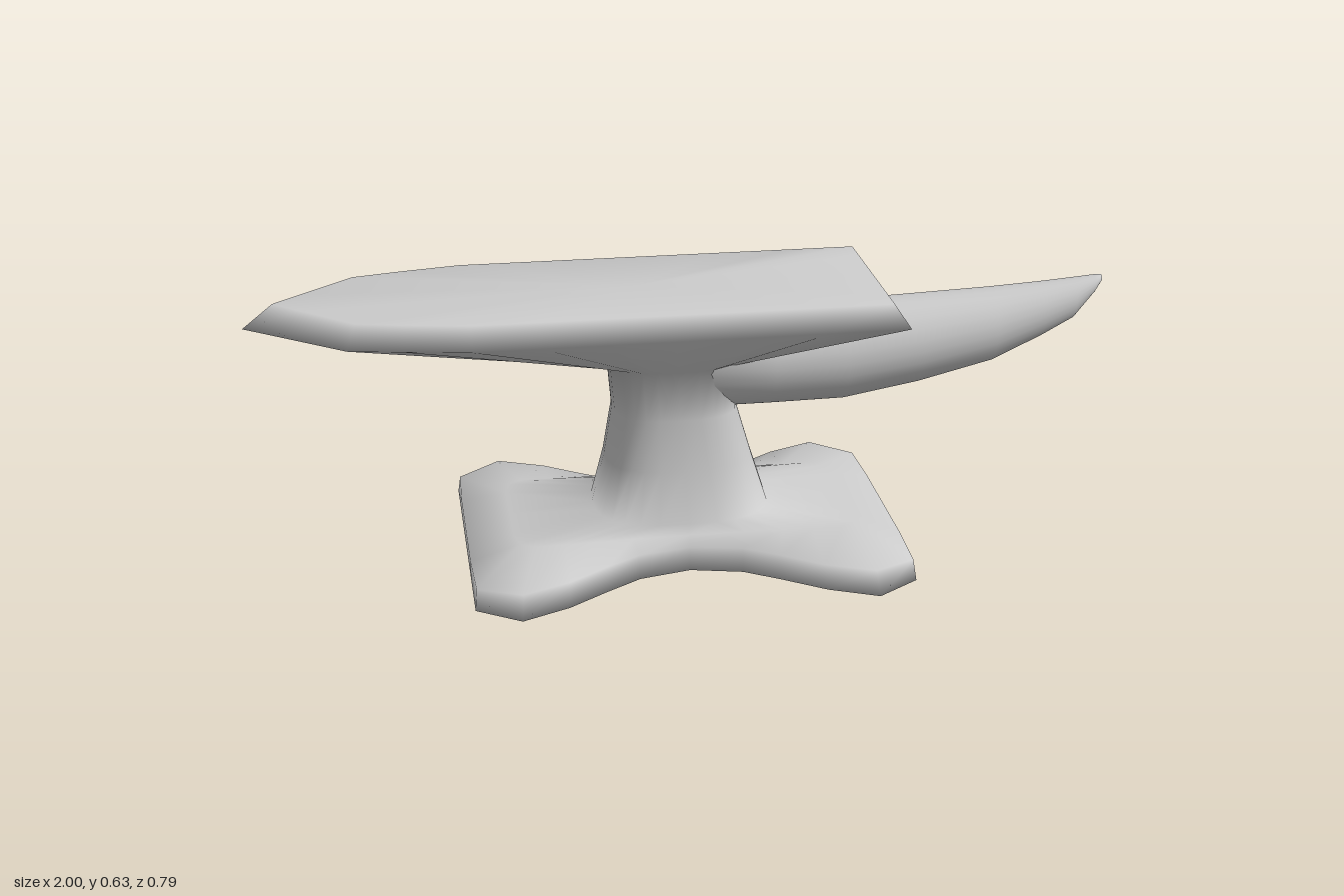
import * as THREE from 'three';

const material = new THREE.MeshStandardMaterial({ color: 0xcccccc });

// Skins a stack of equal-length rings and closes both ends with a fan.
function loft(rings, name) {
  const n = rings[0].length, last = rings.length - 1;
  const positions = rings.flat(2), index = [];
  for (const r of [rings[0], rings[last]]) {
    for (let k = 0; k < 3; k++) positions.push(r.reduce((s, p) => s + p[k], 0) / n);
  }
  const start = rings.length * n, end = start + 1;
  for (let j = 0; j < n; j++) {
    const k = (j + 1) % n;
    for (let i = 0; i < last; i++) {
      const a = i * n + j, b = i * n + k;
      index.push(a, a + n, b, b, a + n, b + n);
    }
    index.push(start, j, k, end, last * n + k, last * n + j);
  }
  const geometry = new THREE.BufferGeometry();
  geometry.setAttribute('position', new THREE.Float32BufferAttribute(positions, 3));
  geometry.setIndex(index);
  geometry.computeVertexNormals();
  const mesh = new THREE.Mesh(geometry, material);
  mesh.name = name;
  return mesh;
}

// Horizontal ring from a right and a left quarter ([x, z, optional y]),
// each listed from the x axis to the z axis; mirrored front to back.
function ring(y, right, left) {
  const half = [...right, ...left.slice(0, -1).reverse()];
  const front = half.map(([x, z, h = y]) => [x, h, z]);
  const back = front.slice(1, -1).reverse().map(([x, h, z]) => [x, h, -z]);
  return [...front, ...back];
}

// Foot ring: symmetric left and right about a slightly shifted centre.
function footRing(y, quarter) {
  const cx = -0.015;
  return ring(y,
    quarter.map(([x, z, h]) => [cx + x, z, h]),
    quarter.map(([x, z, h]) => [cx - x, z, h]));
}

// Column ring: rounded rectangle between two x limits.
function columnRing(y, xLeft, xRight, zHalf) {
  const cx = (xLeft + xRight) / 2, rx = (xRight - xLeft) / 2, quarter = [];
  for (let i = 0; i < 8; i++) {
    const a = (i / 7) * Math.PI / 2;
    quarter.push([
      rx * Math.pow(Math.max(0, Math.cos(a)), 0.75),
      zHalf * Math.pow(Math.sin(a), 0.75)]);
  }
  return ring(y, quarter.map(([x, z]) => [cx + x, z]), quarter.map(([x, z]) => [cx - x, z]));
}

export function createModel() {
  const group = new THREE.Group();
  group.name = 'anvil';

  const rings = [
    // four-armed foot: ground outline, rim, shelf
    footRing(0, [[0.505, 0], [0.505, 0.17], [0.505, 0.33], [0.405, 0.397],
      [0.295, 0.347], [0.2, 0.28], [0.12, 0.228], [0, 0.2]]),
    footRing(0.055, [[0.505, 0, 0.045], [0.505, 0.17, 0.045], [0.5, 0.315, 0.045], [0.4, 0.377],
      [0.29, 0.33], [0.2, 0.266], [0.12, 0.217], [0, 0.194]]),
    footRing(0.081, [[0.4, 0], [0.4, 0.12], [0.39, 0.17], [0.36, 0.19],
      [0.29, 0.19], [0.22, 0.187], [0.13, 0.184], [0, 0.182]]),
    // waisted column
    columnRing(0.1, -0.22, 0.195, 0.164),
    columnRing(0.22, -0.19, 0.157, 0.135),
    columnRing(0.34, -0.17, 0.122, 0.118),
    columnRing(0.46, -0.18, 0.12, 0.124),
    // working table: lower rim and flat face, pointed at the heel
    ring(0.576,
      [[0.482, 0], [0.482, 0.08], [0.482, 0.16], [0.482, 0.23],
        [0.3, 0.23], [0.2, 0.23], [0.1, 0.23], [-0.05, 0.23]],
      [[-1, 0], [-0.923, 0.06], [-0.77, 0.18], [-0.65, 0.203],
        [-0.5, 0.23], [-0.35, 0.23], [-0.2, 0.23], [-0.05, 0.23]]),
    ring(0.632,
      [[0.445, 0], [0.445, 0.08], [0.445, 0.15], [0.445, 0.213],
        [0.3, 0.213], [0.2, 0.213], [0.1, 0.213], [-0.05, 0.213]],
      [[-0.93, 0], [-0.87, 0.055], [-0.75, 0.162], [-0.64, 0.187],
        [-0.5, 0.213], [-0.35, 0.213], [-0.2, 0.213], [-0.05, 0.213]]),
  ];
  group.add(loft(rings, 'body'));

  // horn sections: x, bottom y, top y, half width
  const sections = [
    [0, 0.334, 0.565, 0.115], [0.2, 0.334, 0.565, 0.115], [0.37, 0.336, 0.568, 0.115],
    [0.55, 0.366, 0.575, 0.103], [0.73, 0.408, 0.583, 0.083], [0.85, 0.461, 0.591, 0.06],
    [0.93, 0.502, 0.598, 0.043], [0.98, 0.562, 0.603, 0.024], [0.998, 0.588, 0.604, 0.01],
  ];
  const hornRings = sections.map(([x, low, high, w]) =>
    Array.from({ length: 24 }, (_, i) => {
      const a = (i / 24) * Math.PI * 2;
      return [x, (low + high) / 2 + Math.cos(a) * (high - low) / 2, -Math.sin(a) * w];
    }));
  group.add(loft(hornRings, 'horn'));

  return group;
}
